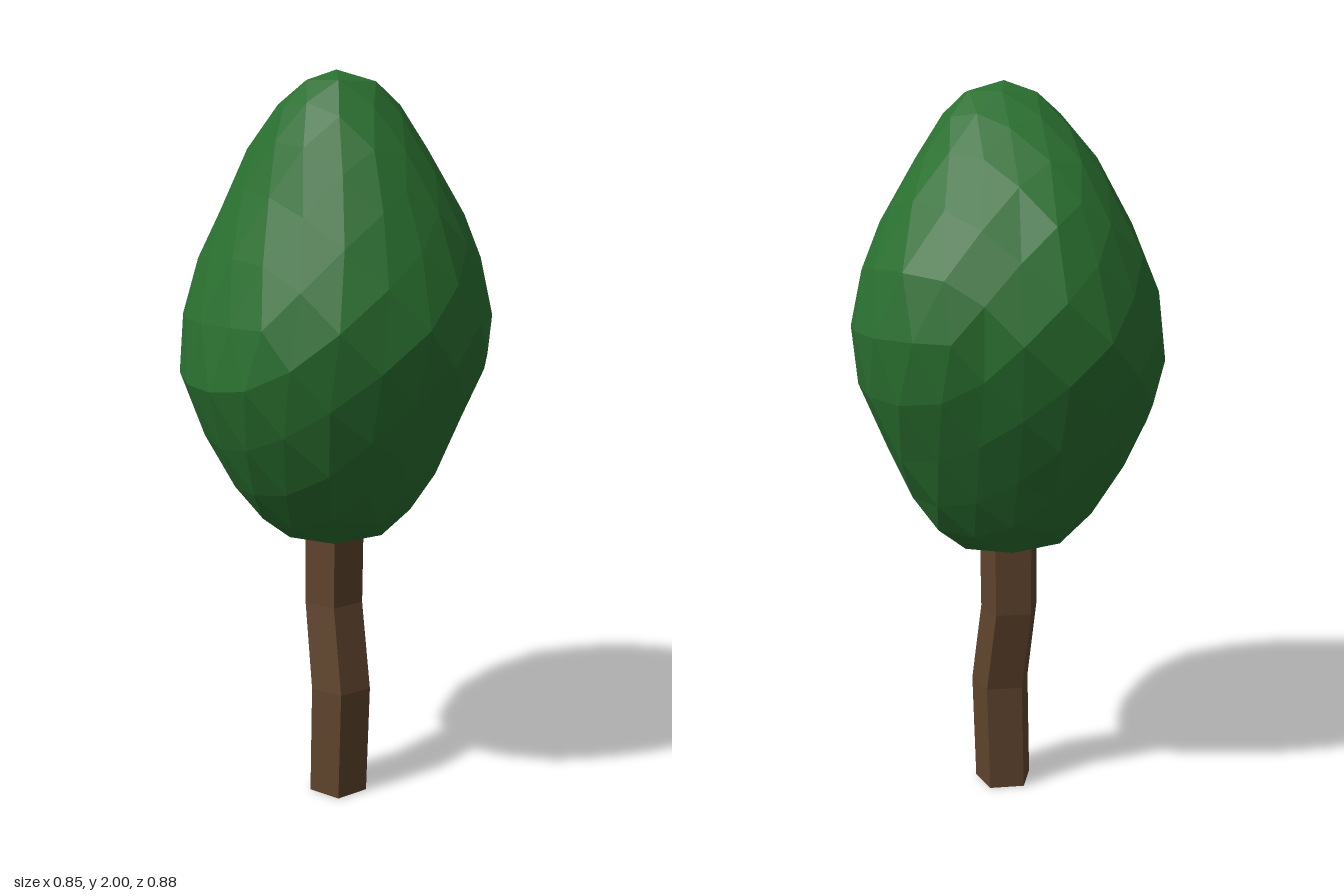
import * as THREE from 'three';

// Crown outline by height: [y, xMin, xMax, zMin, zMax]
const OUTLINE = [
  [0.725, 0, 0, -0.01, -0.01],
  [0.74, -0.13, 0.13, -0.14, 0.12],
  [0.83, -0.25, 0.24, -0.22, 0.225],
  [1.0, -0.355, 0.325, -0.315, 0.335],
  [1.2, -0.425, 0.405, -0.405, 0.415],
  [1.35, -0.41, 0.425, -0.435, 0.435],
  [1.5, -0.365, 0.395, -0.41, 0.405],
  [1.65, -0.3, 0.33, -0.345, 0.345],
  [1.8, -0.24, 0.22, -0.235, 0.275],
  [1.95, -0.16, 0.115, -0.07, 0.18],
  [1.985, -0.11, 0.05, -0.01, 0.14],
  [2.0, -0.04, -0.04, 0.06, 0.06],
];

function outlineAt(y) {
  let i = 0;
  while (i < OUTLINE.length - 2 && y > OUTLINE[i + 1][0]) i++;
  const a = OUTLINE[i], b = OUTLINE[i + 1];
  const t = THREE.MathUtils.clamp((y - a[0]) / (b[0] - a[0]), 0, 1);
  return a.map((v, k) => THREE.MathUtils.lerp(v, b[k], t));
}

// Faceted, lopsided egg of leaves
function createCrown() {
  const geometry = new THREE.IcosahedronGeometry(1, 3);
  const p = geometry.attributes.position;
  for (let i = 0; i < p.count; i++) {
    const dx = p.getX(i), dy = p.getY(i), dz = p.getZ(i);
    const y = 1.3625 + 0.6375 * dy;
    const [, x0, x1, z0, z1] = outlineAt(y);
    const angle = Math.atan2(dz, dx);
    // Each diagonal bulges or flattens a little
    let bulge;
    if (dx > 0) bulge = dz > 0 ? (y < 1.2 ? -0.07 : -0.03) : -0.1;
    else bulge = dz > 0 ? 0.02 : 0.03;
    const dent = 0.012 * Math.sin(9 * dx + 4 * dz) * Math.sin(8 * dy + 5 * dz);
    const r = 1.005 + bulge * Math.sin(2 * angle) ** 2 + dent;
    p.setXYZ(i,
      (x0 + x1) / 2 + ((x1 - x0) / 2) * r * Math.cos(angle),
      y,
      (z0 + z1) / 2 + ((z1 - z0) / 2) * r * Math.sin(angle));
  }
  geometry.computeVertexNormals();
  const material = new THREE.MeshStandardMaterial({ color: 0x2a7030, flatShading: true });
  const crown = new THREE.Mesh(geometry, material);
  crown.name = 'crown';
  return crown;
}

// Five-sided trunk that kinks backwards halfway up
function createTrunk() {
  const rings = [ // [y, centre x, centre z, radius]
    [0, -0.02, 0.035, 0.084],
    [0.31, -0.014, 0.04, 0.086],
    [0.55, -0.008, -0.01, 0.084],
    [0.85, -0.004, -0.012, 0.086],
  ];
  const sides = 5;
  const geometry = new THREE.CylinderGeometry(1, 1, 1, sides, rings.length - 1);
  const p = geometry.attributes.position;
  for (let i = 0; i < p.count; i++) {
    const level = Math.round((p.getY(i) + 0.5) * (rings.length - 1));
    const [y, cx, cz, r] = rings[level];
    const x = p.getX(i), z = p.getZ(i);
    const onAxis = Math.hypot(x, z) < 0.5;
    const a = Math.atan2(z, x) - THREE.MathUtils.degToRad(90 - 48);
    p.setXYZ(i,
      cx + (onAxis ? 0 : r * Math.cos(a)),
      y,
      cz + (onAxis ? 0 : r * Math.sin(a)));
  }
  geometry.computeVertexNormals();
  const material = new THREE.MeshStandardMaterial({ color: 0x5f442d, flatShading: true });
  const trunk = new THREE.Mesh(geometry, material);
  trunk.name = 'trunk';
  return trunk;
}

export function createModel() {
  const tree = new THREE.Group();
  tree.name = 'tree';
  tree.add(createTrunk(), createCrown());
  return tree;
}
